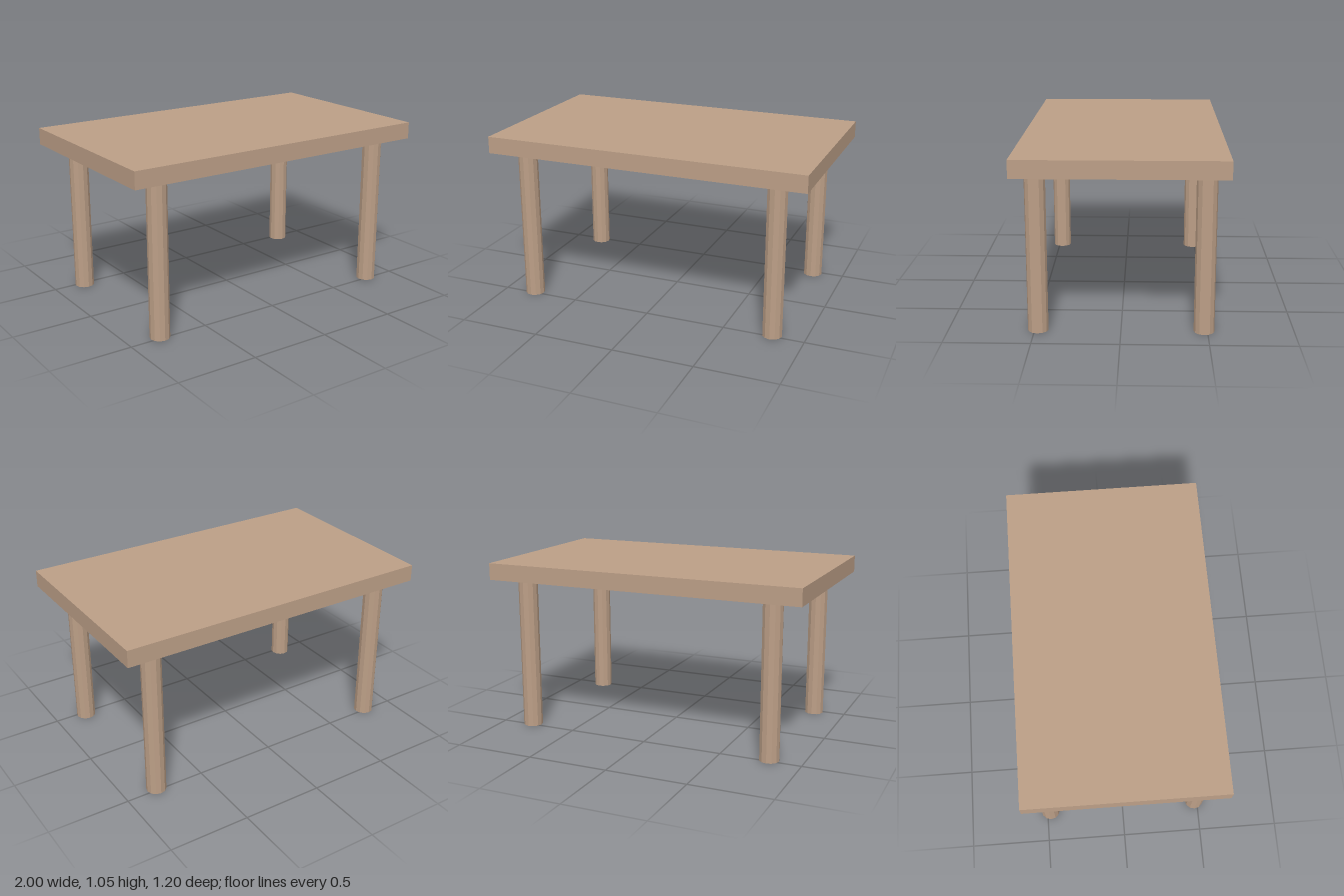
import * as THREE from 'three';

export function createModel() {
  const wood = new THREE.MeshStandardMaterial({ color: 0xbc9f87, flatShading: true });
  wood.name = 'wood';

  const table = new THREE.Group();
  table.name = 'table';

  // Flat slab top
  const topThickness = 0.104;
  const legHeight = 0.949;
  const top = new THREE.Mesh(new THREE.BoxGeometry(2, topThickness, 1.2), wood);
  top.name = 'tableTop';
  top.position.y = legHeight + topThickness / 2;
  table.add(top);

  // Four twelve-sided legs, mirrored in x and z
  const legGeometry = new THREE.CylinderGeometry(0.06, 0.06, legHeight, 12);
  for (const [xName, x] of [['Left', 0.8], ['Right', -0.8]]) {
    for (const [zName, z] of [['front', 0.48], ['back', -0.48]]) {
      const leg = new THREE.Mesh(legGeometry, wood);
      leg.name = `${zName}${xName}Leg`;
      leg.position.set(x, legHeight / 2, z);
      table.add(leg);
    }
  }

  return table;
}
